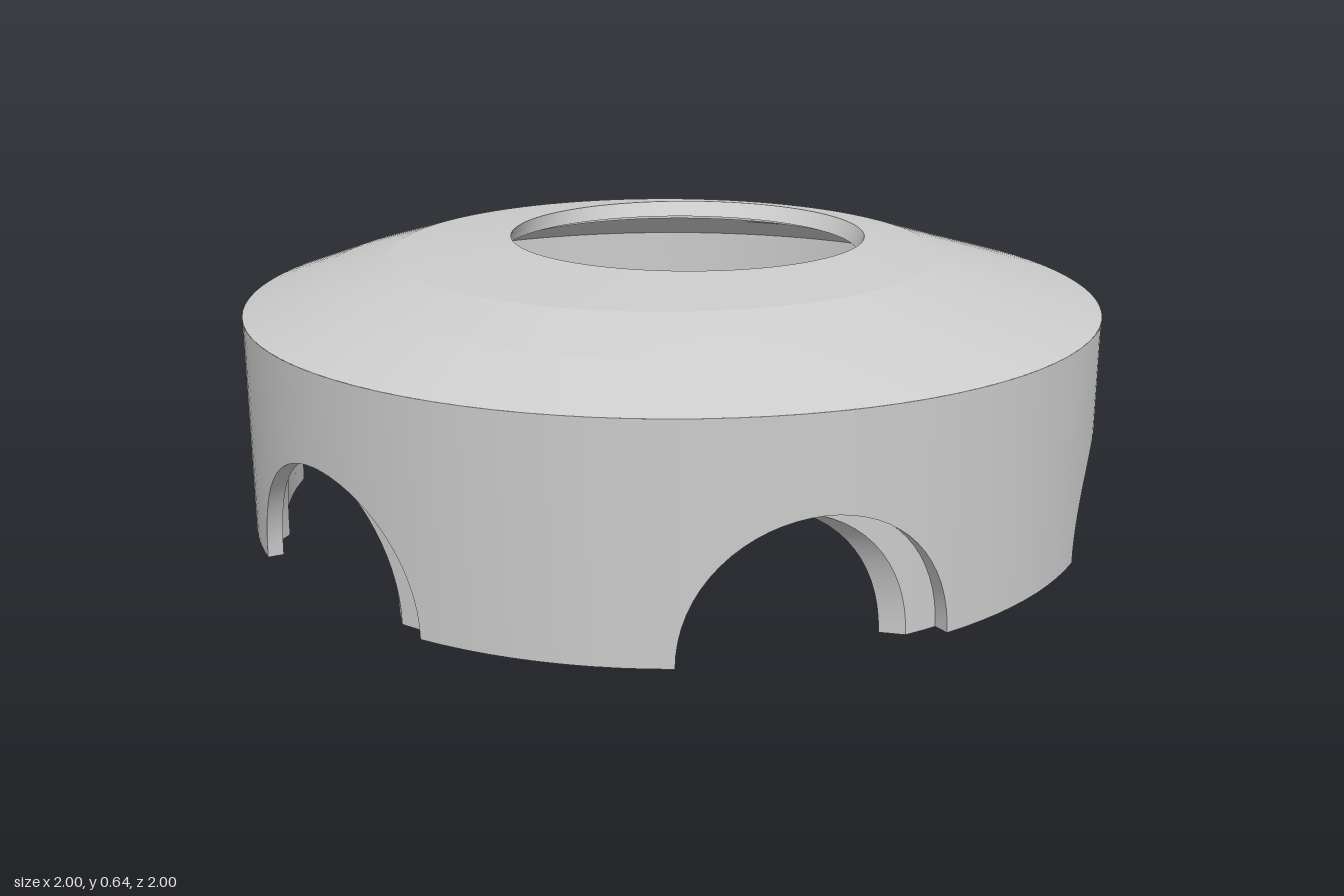
import * as THREE from 'three';
import { toCreasedNormals } from 'three/addons/utils/BufferGeometryUtils.js';

const rad = THREE.MathUtils.degToRad;
const polar = (r, deg, y, cx = 0, cz = 0) =>
  [cx + r * Math.sin(rad(deg)), y, cz + r * Math.cos(rad(deg))];

// Skin a grid: columns run round the axis, each column runs along the profile.
function skin(columns, crease) {
  const rows = columns[0].length;
  const index = [];
  for (let i = 0; i < columns.length - 1; i++) {
    for (let j = 0; j < rows - 1; j++) {
      const a = i * rows + j, d = a + rows;
      index.push(a, a + 1, d + 1, a, d + 1, d);
    }
  }
  const geometry = new THREE.BufferGeometry();
  geometry.setAttribute('position', new THREE.Float32BufferAttribute(columns.flat(2), 3));
  geometry.setIndex(index);
  return toCreasedNormals(geometry, crease);
}

// Arched openings: centre angle, half width (degrees), height
const arches = [
  [10.2, 16.5, 0.295], [72.3, 17.1, 0.265], [128, 17, 0.265],
  [186, 17, 0.28], [248.5, 17, 0.285], [306.5, 17, 0.295],
];

// Lower edge of the wall as [angle, height], once round the ring
function lowerEdge() {
  const edge = [];
  arches.forEach(([centre, half, height], k) => {
    const n = 32;
    for (let i = 0; i <= n; i++) {
      const t = Math.PI * i / n;
      edge.push([centre - half * Math.cos(t), height * Math.sin(t)]);
    }
    const next = arches[(k + 1) % arches.length];
    const from = centre + half;
    const to = next[0] - next[1] + (k === arches.length - 1 ? 360 : 0);
    for (let i = 1; i < 10; i++) edge.push([from + (to - from) * i / 10, 0]);
  });
  edge.push([edge[0][0] + 360, 0]);
  return edge;
}

// One wall layer; the openings are turned by a different angle on each face.
function wallLayer(rOut, rIn, turnOut, turnIn, top) {
  return skin(lowerEdge().map(([a, y]) => [
    polar(rOut, a + turnOut, top),
    polar(rOut, a + turnOut, y),
    polar(rIn, a + turnIn, y),
    polar(rIn, a + turnIn, top),
  ]), 0.5);
}

// Domed cover with an off-centre hole: rings of [radius, y, centre x, centre z]
function cover() {
  const rings = [
    [0.93, 0.46, 0, 0],
    [0.80, 0.53, -0.025, 0.03],
    [0.635, 0.58, -0.025, 0.035],
    [0.47, 0.59, 0.02, 0],
    [0.47, 0.605, 0.02, 0],
    [0.42, 0.605, 0.02, 0],
    [0.42, 0.64, 0.04, -0.025],
    [0.635, 0.62, -0.025, 0.035],
    [0.80, 0.57, -0.025, 0.03],
    [1, 0.5, 0, 0],
  ];
  const n = 96, columns = [];
  for (let i = 0; i <= n; i++) {
    columns.push(rings.map(([r, y, cx, cz]) => polar(r, 360 * i / n, y, cx, cz)));
  }
  return skin(columns, 0.1);
}

export function createModel() {
  const model = new THREE.Group();
  model.name = 'archedRingCover';
  const material = new THREE.MeshStandardMaterial({ color: 0xcccccc, side: THREE.DoubleSide });
  const add = (name, geometry) => {
    const mesh = new THREE.Mesh(geometry, material);
    mesh.name = name;
    model.add(mesh);
  };
  add('domedCover', cover());
  add('outerWall', wallLayer(1, 0.965, 0, 0, 0.5));
  // Inner layer, its openings turned to leave a stepped edge
  add('innerWall', wallLayer(0.965, 0.93, -4.5, -7, 0.48));
  return model;
}
